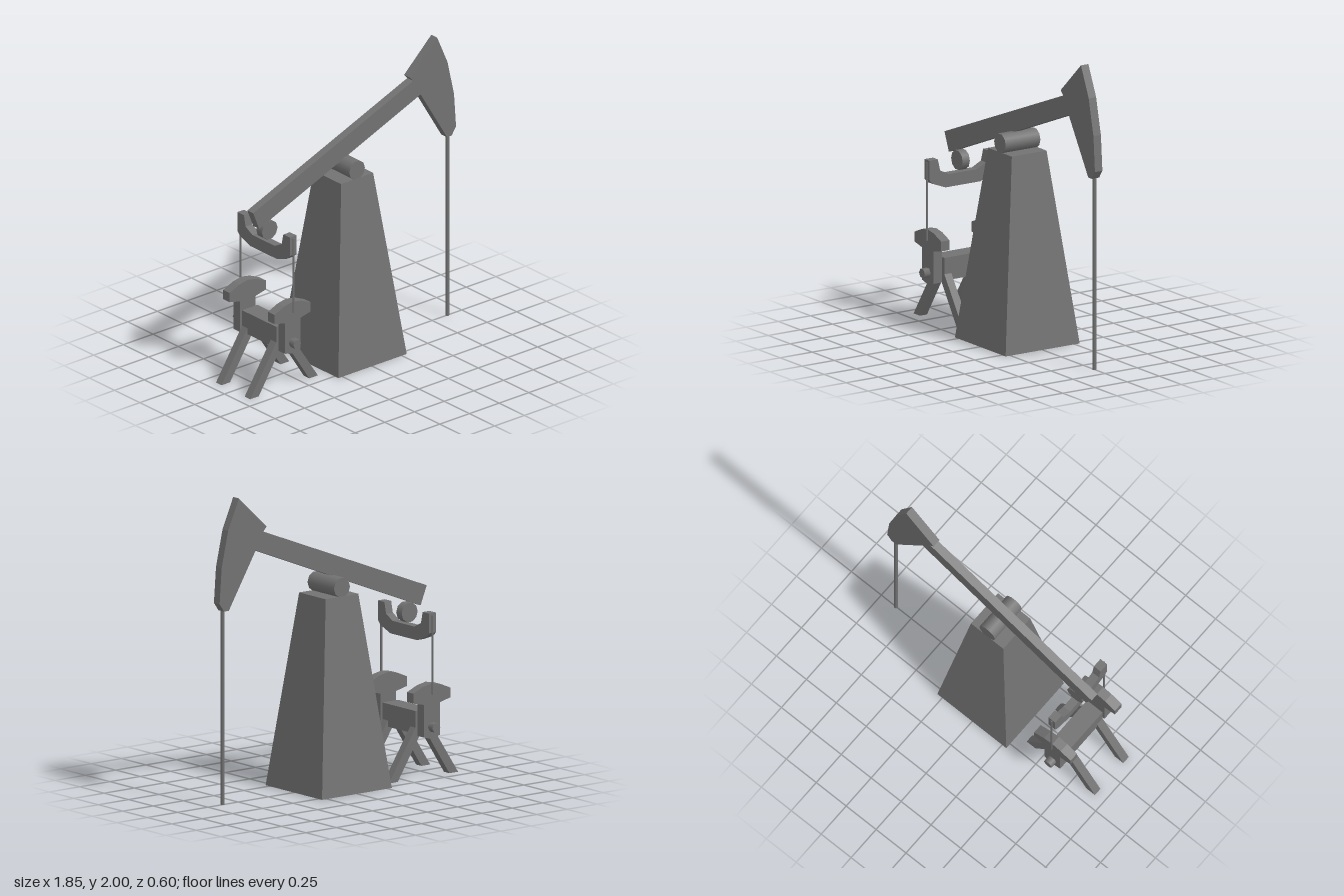
import * as THREE from 'three';

const flat = new THREE.MeshStandardMaterial({ color: 0x727272, flatShading: true });
const smooth = new THREE.MeshStandardMaterial({ color: 0x727272 });

export function createModel() {
  const model = new THREE.Group();

  const add = (name, geometry, material, x = 0, y = 0, z = 0) => {
    const mesh = new THREE.Mesh(geometry, material);
    mesh.name = name;
    mesh.position.set(x, y, z);
    model.add(mesh);
  };
  // Flat outline extruded to a plate centred on its own thickness
  const plate = (points, depth) => {
    const shape = new THREE.Shape(points.map(([x, y]) => new THREE.Vector2(x, y)));
    const g = new THREE.ExtrudeGeometry(shape, { depth, bevelEnabled: false });
    return g.translate(0, 0, -depth / 2);
  };
  const rod = (r, length, sides) => new THREE.CylinderGeometry(r, r, length, sides);
  // Cylinder along z with a flat facet on top
  const axle = (r, length, sides) => rod(r, length, sides).rotateX(Math.PI / 2).rotateZ(Math.PI / sides);

  const mid = 0.003;
  const rear = -0.642;

  // Tapered tower with square base
  const tower = new THREE.CylinderGeometry(0.135 * Math.SQRT2, 0.288 * Math.SQRT2, 1.27, 4);
  add('tower', tower.rotateY(Math.PI / 4), flat, mid, 0.635, 0);
  add('pivotAxle', axle(0.066, 0.27, 10), smooth, mid, 1.328, 0);

  // Walking beam and curved head
  add('beam', plate([[-0.735, 1.095], [0.626, 1.64], [0.563, 1.755], [-0.785, 1.22]], 0.058), flat, mid);
  add('head', plate([
    [0.535, 1.785], [0.563, 1.755], [0.626, 1.64], [0.848, 1.273], [0.887, 1.273],
    [0.924, 1.326], [0.907, 1.56], [0.853, 1.8], [0.765, 2],
  ], 0.058), flat, mid);
  add('pumpRod', rod(0.013, 1.29, 8), smooth, 0.878, 0.645, 0);

  // Equalizer hung under the tail of the beam
  add('tailBearing', axle(0.066, 0.056, 10), smooth, rear, 1.06, 0);
  const half = [
    [0.135, 0.9], [0.235, 0.938], [0.26, 0.965], [0.26, 1.095], [0.195, 1.095], [0.178, 1.02], [0.11, 0.985],
  ];
  const yoke = [...half, ...half.map(([z, y]) => [-z, y]).reverse()];
  add('equalizer', plate(yoke, 0.056).rotateY(Math.PI / 2), flat, rear);

  // Gear block and crank pin
  add('gearBlock', new THREE.BoxGeometry(0.13, 0.15, 0.34), flat, rear, 0.37, 0);
  add('crankPin', axle(0.033, 0.6, 6), smooth, rear, 0.348, 0);

  const right = [
    [0.065, 0.285], [0.065, 0.5], [0.152, 0.52], [0.152, 0.585], [0.07, 0.62],
  ];
  const weight = [
    [0, 0.268], ...right, [0, 0.633], ...right.map(([x, y]) => [-x, y]).reverse(),
  ];
  const leg = [[0.213, 0], [0.285, 0], [0.03, 0.39], [0, 0.39], [0, 0.33]];
  const mirroredLeg = leg.map(([x, y]) => [-x, y]);

  for (const side of [1, -1]) {
    add('counterweight', plate(weight, 0.065), flat, rear, 0, side * 0.222);
    add('pitmanRod', rod(0.007, 0.52, 6), smooth, rear, 0.82, side * 0.262);
    add('leg', plate(leg, 0.055), flat, rear, 0, side * 0.142);
    add('leg', plate(mirroredLeg, 0.055), flat, rear, 0, side * 0.142);
  }
  return model;
}
